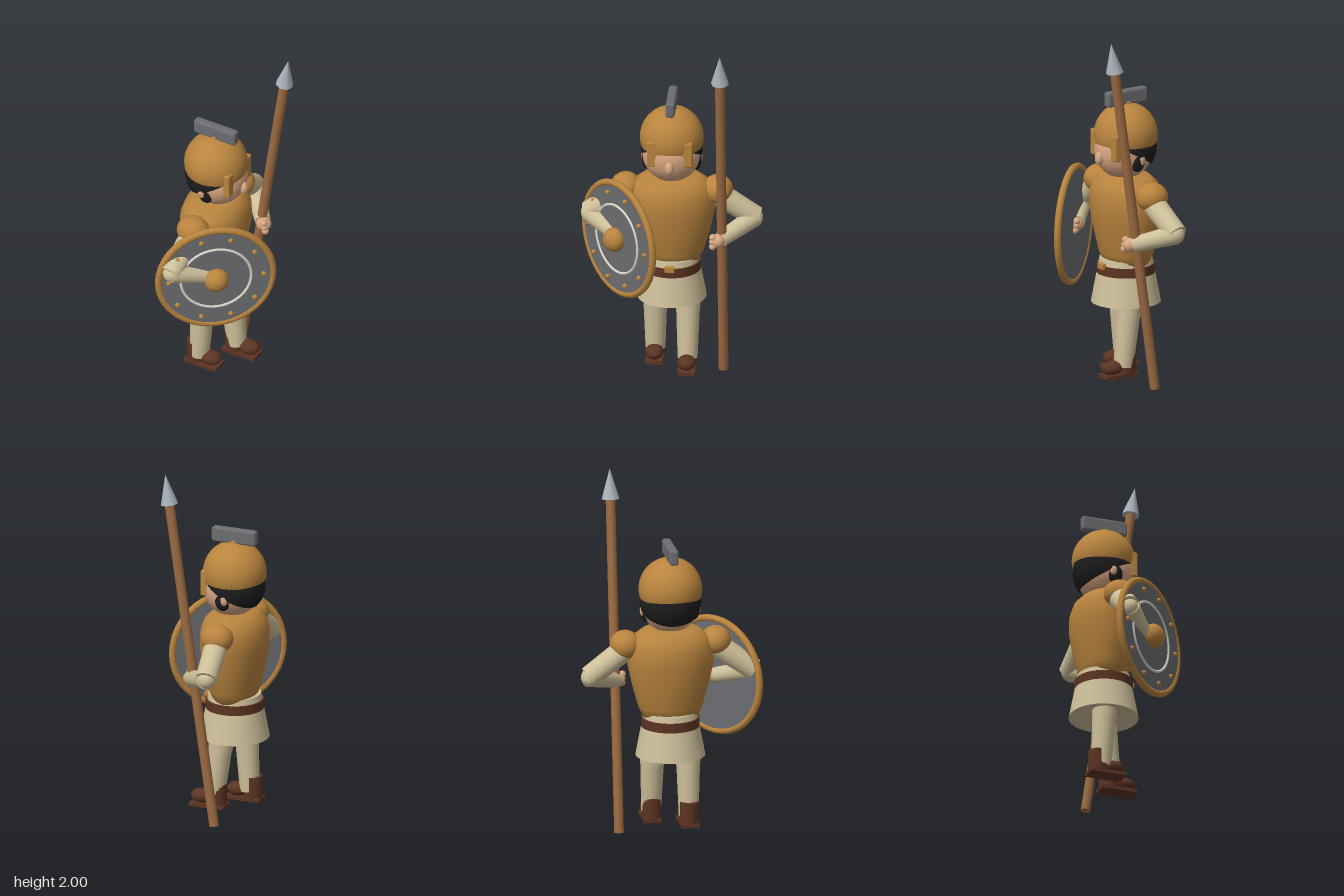
import * as THREE from 'three';
import { RoundedBoxGeometry } from 'three/addons/geometries/RoundedBoxGeometry.js';

const mat = (name, color, side = THREE.FrontSide) => {
  const m = new THREE.MeshStandardMaterial({ color, side });
  m.name = name;
  return m;
};

export function createModel() {
  const bronze = mat('bronze', 0xb9843e, THREE.DoubleSide);
  const grey = mat('darkGrey', 0x6c6d70);
  const cloth = mat('cloth', 0xcdbf99);
  const leather = mat('leather', 0x5c3423);
  const skin = mat('skin', 0xd8a682);
  const hair = mat('hair', 0x1c1c1c, THREE.DoubleSide);
  const wood = mat('wood', 0x9c6b42);
  const steel = mat('steel', 0xaab3bb);
  const white = mat('paleRing', 0xdad7cc);

  const model = new THREE.Group();
  model.name = 'spearman';
  const CX = -0.115; // body axis; the figure looks along +x

  const add = (name, geo, m, x = 0, y = 0, z = 0, parent = model) => {
    const mesh = new THREE.Mesh(geo, m);
    mesh.name = name;
    mesh.position.set(x, y, z);
    parent.add(mesh);
    return mesh;
  };
  const ball = (name, m, x, y, z, rx, ry = rx, rz = rx, parent = model) => {
    const s = add(name, new THREE.SphereGeometry(1, 24, 16), m, x, y, z, parent);
    s.scale.set(rx, ry, rz);
    return s;
  };
  // Tapered rod between two points
  const rod = (name, m, a, b, ra, rb, sides = 20) => {
    const A = new THREE.Vector3(...a), B = new THREE.Vector3(...b);
    const d = B.clone().sub(A);
    const r = add(name, new THREE.CylinderGeometry(rb, ra, d.length(), sides), m);
    r.position.copy(A).add(B).multiplyScalar(0.5);
    r.quaternion.setFromUnitVectors(new THREE.Vector3(0, 1, 0), d.normalize());
    return r;
  };
  const lathe = (pts) => new THREE.LatheGeometry(pts.map(p => new THREE.Vector2(...p)), 32);

  // Breastplate, tunic skirt and belt
  const chest = add('breastplate', lathe([[0, 0.65], [0.15, 0.66], [0.178, 0.72], [0.212, 0.84],
    [0.24, 0.97], [0.237, 1.06], [0.21, 1.12], [0.155, 1.16], [0, 1.168]]), bronze, CX);
  chest.scale.x = 0.76;
  add('tunicSkirt', new THREE.CylinderGeometry(0.145, 0.192, 0.25, 32), cloth, CX, 0.565, 0);
  add('belt', new THREE.CylinderGeometry(0.161, 0.161, 0.055, 32), leather, CX, 0.63, 0);
  add('buckle', new RoundedBoxGeometry(0.025, 0.036, 0.055, 2, 0.006), bronze, CX + 0.16, 0.657, 0);

  // Head, nose, ears and hair
  ball('head', skin, -0.1, 1.3, 0, 0.162);
  ball('nose', skin, 0.062, 1.27, 0, 0.024, 0.038, 0.025);
  for (const s of [-1, 1]) {
    ball('sideHair', hair, -0.1, 1.262, s * 0.135, 0.046, 0.062, 0.03);
    ball('ear', skin, -0.115, 1.27, s * 0.155, 0.022, 0.034, 0.015);
  }
  const mop = add('hairCap', new THREE.SphereGeometry(0.17, 32, 20, 0, Math.PI * 2, 0, 1.77), hair, CX, 1.315, 0);
  mop.rotation.z = 0.5;

  // Helmet with cheek guards and crest
  const dome = add('helmet', new THREE.SphereGeometry(0.175, 36, 22, 0, Math.PI * 2, 0, 1.92), bronze, CX, 1.387, 0);
  dome.rotation.z = -0.14;
  for (const s of [-1, 1])
    add('cheekGuard', new RoundedBoxGeometry(0.038, 0.145, 0.09, 2, 0.008), bronze, 0.02, 1.34, s * 0.08);
  ball('crestMount', bronze, CX, 1.558, 0, 0.03);
  add('crest', new RoundedBoxGeometry(0.262, 0.085, 0.05, 3, 0.014), grey, CX, 1.595, 0);

  // Legs and boots; the -z foot is a step ahead
  for (const [s, hip, ankle] of [[1, -0.145, -0.165], [-1, -0.075, -0.035]]) {
    const z = s * 0.093;
    const knee = hip + (ankle - hip) * 0.15;
    rod('thigh', cloth, [hip, 0.46, z], [knee, 0.38, z], 0.068, 0.067);
    rod('trouserLeg', cloth, [knee, 0.4, z], [ankle, 0.1, z], 0.066, 0.055);
    const boot = new THREE.Group();
    boot.name = 'boot';
    boot.position.set(s > 0 ? -0.135 : 0, 0, z);
    model.add(boot);
    add('bootShaft', new THREE.CylinderGeometry(0.053, 0.053, 0.125, 20), leather, -0.05, 0.123, 0, boot);
    ball('toe', leather, 0.04, 0.1, 0, 0.063, 0.04, 0.05, boot);
    add('sole', new THREE.BoxGeometry(0.205, 0.02, 0.098), leather, -0.003, 0.056, 0, boot);
  }

  // Shoulder guards, bent arms and fists
  for (const s of [-1, 1]) {
    ball('shoulderGuard', bronze, CX, 1.08, s * 0.252, 0.092, 0.08, 0.085);
    rod('upperArm', cloth, [-0.115, 1.055, s * 0.25], [-0.138, 0.91, s * 0.46], 0.066, 0.06);
    ball('elbow', cloth, -0.135, 0.908, s * 0.448, 0.053);
    rod('forearm', cloth, [-0.135, 0.91, s * 0.455], [0.02, 0.838, s * 0.28], 0.055, 0.044);
    ball('hand', skin, 0.035, 0.835, s * 0.265, 0.043, 0.04, 0.04);
    for (let i = 0; i < 3; i++)
      ball('finger', skin, 0.05 + i * 0.005, 0.86 - i * 0.025, s * 0.238, 0.02);
  }

  // Spear
  const base = [-0.112, 0.004, -0.285], neck = [0.154, 1.835, -0.285], tip = [0.178, 2, -0.285];
  rod('spearShaft', wood, base, neck, 0.027, 0.027, 12);
  rod('spearHead', steel, neck, tip, 0.05, 0.001, 8);

  // Round shield, built facing +z and then turned outward
  const shield = new THREE.Group();
  shield.name = 'shield';
  shield.position.set(0.042, 0.835, 0.278);
  shield.rotation.y = 0.69;
  model.add(shield);
  add('shieldFace', new THREE.CylinderGeometry(0.318, 0.318, 0.028, 40), grey, 0, 0, 0, shield).rotation.x = Math.PI / 2;
  add('shieldRim', new THREE.TorusGeometry(0.318, 0.02, 8, 40), bronze, 0, 0, 0, shield);
  add('shieldRing', new THREE.TorusGeometry(0.196, 0.008, 8, 40), white, 0, 0, 0.014, shield);
  ball('shieldBoss', bronze, 0, 0, 0.032, 0.068, 0.068, 0.06, shield);
  for (let i = 0; i < 10; i++) {
    const a = (i / 10) * Math.PI * 2;
    ball('rivet', bronze, 0.265 * Math.cos(a), 0.265 * Math.sin(a), 0.018, 0.014, 0.014, 0.014, shield);
  }
  return model;
}
